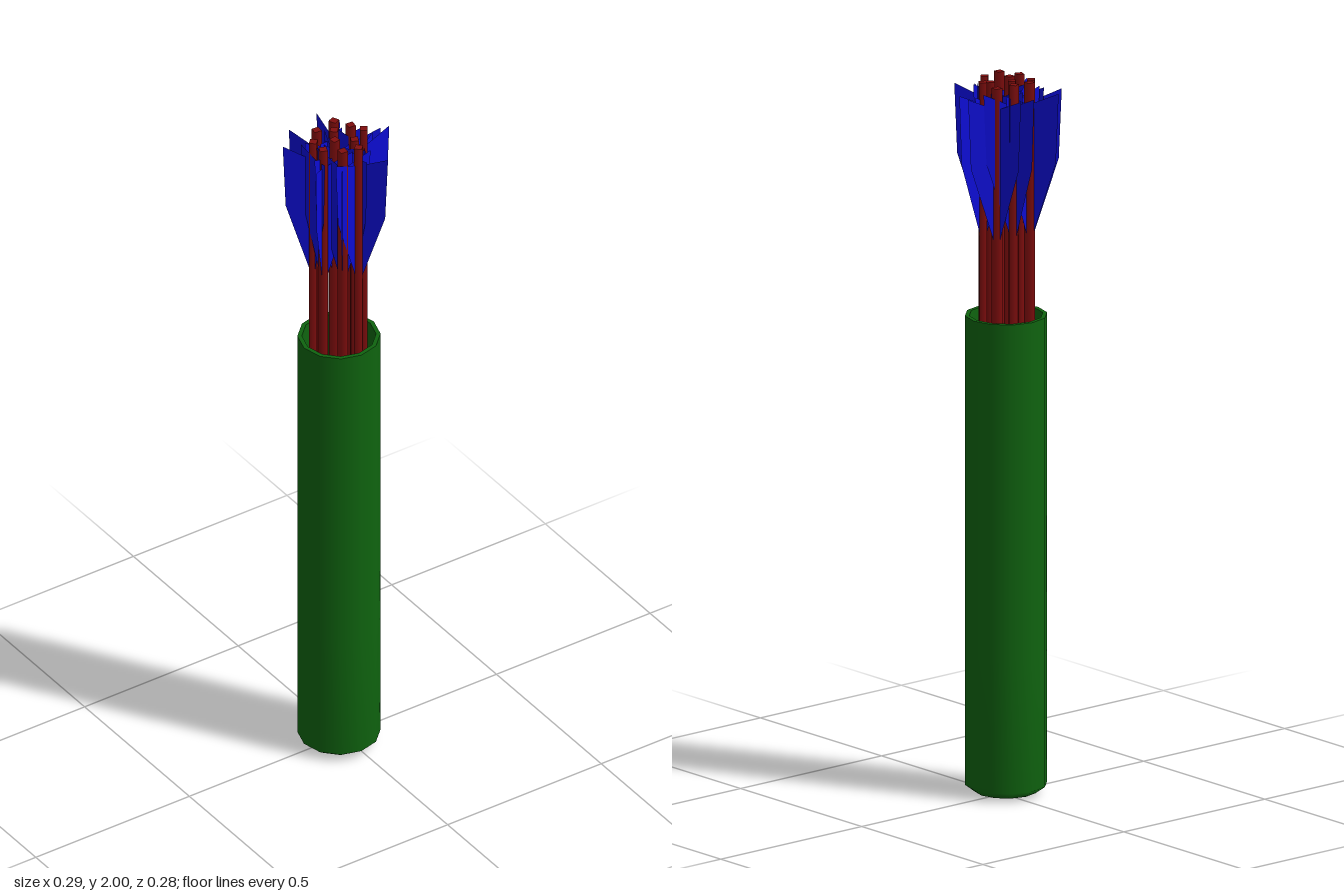
import * as THREE from 'three';

export function createModel() {
  const model = new THREE.Group();
  model.name = 'quiverOfArrows';

  const paint = (name, color, side = THREE.FrontSide) => {
    const m = new THREE.MeshStandardMaterial({ color, side });
    m.name = name;
    return m;
  };
  const green = paint('green leather', 0x0f640f);
  const red = paint('red wood', 0x800d0d);
  const blue = paint('blue feather', 0x0d0dd8, THREE.DoubleSide);

  // Quiver: twelve-sided hollow tube, split into smooth shells at its hard edges
  const quiver = new THREE.Group();
  quiver.name = 'quiver';
  quiver.position.set(-0.017, 0, 0.006);
  quiver.rotation.y = -0.025;
  const shells = {
    quiverShell: [[0, 0.004], [0.085, 0.01], [0.112, 0.03], [0.112, 0.4], [0.112, 1.34]],
    quiverRim: [[0.112, 1.34], [0.1, 1.34]],
    quiverLining: [[0.1, 1.34], [0.097, 0.06], [0, 0.03]],
  };
  for (const [name, points] of Object.entries(shells)) {
    const profile = points.map(([r, y]) => new THREE.Vector2(r, y));
    const mesh = new THREE.Mesh(new THREE.LatheGeometry(profile, 12), green);
    mesh.name = name;
    quiver.add(mesh);
  }
  model.add(quiver);

  // Square arrow shaft, standing on its lower end
  const bottom = 0.05, top = 1.99;
  const shaftGeometry = new THREE.CylinderGeometry(0.0145, 0.0145, top - bottom, 4);
  shaftGeometry.translate(0, (top + bottom) / 2, 0);

  // Feather vane: flat, flaring outward with a raised outer tip
  const vaneGeometry = new THREE.ShapeGeometry(new THREE.Shape([
    new THREE.Vector2(0.005, 1.55), new THREE.Vector2(0.075, 1.77),
    new THREE.Vector2(0.083, 1.965), new THREE.Vector2(0.005, 1.93),
  ]));

  // Arrows: x, z, turn of the square shaft, turn of the first vane, lift
  const arrows = [
    [-0.048, -0.055, 50, 0, 0.005],
    [0.011, -0.059, 20, 30, 0.01],
    [-0.082, -0.021, 0, 102, 0],
    [-0.013, -0.023, 0, 75, 0.01],
    [0.045, -0.029, 50, 20, 0],
    [-0.084, 0.029, 65, 18, 0.005],
    [-0.037, 0.015, 40, 45, 0.01],
    [0.016, 0.032, 70, 100, 0],
    [0.057, 0.016, 78, 0, 0.01],
    [-0.048, 0.07, 50, 8, 0.01],
    [0, 0.075, 0, 52, 0.005],
  ];
  const turn = THREE.MathUtils.degToRad;
  for (const [x, z, shaftTurn, vaneTurn, lift] of arrows) {
    const arrow = new THREE.Group();
    arrow.name = 'arrow';
    arrow.position.set(x, lift, z);
    const shaft = new THREE.Mesh(shaftGeometry, red);
    shaft.name = 'arrowShaft';
    shaft.rotation.y = -turn(shaftTurn);
    arrow.add(shaft);
    for (let i = 0; i < 3; i++) {
      const vane = new THREE.Mesh(vaneGeometry, blue);
      vane.name = 'featherVane';
      vane.rotation.y = -turn(vaneTurn + i * 120);
      arrow.add(vane);
    }
    model.add(arrow);
  }
  return model;
}
